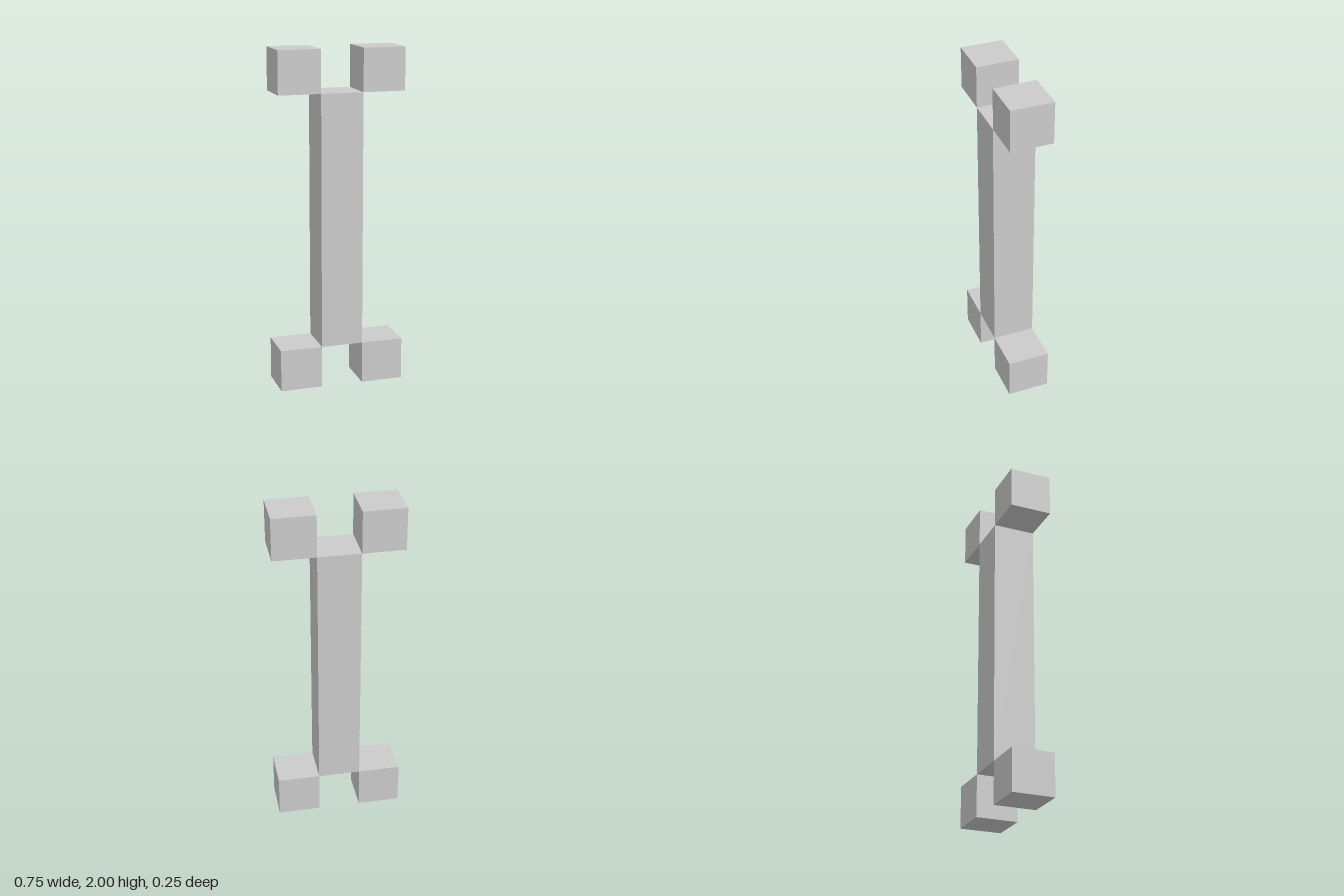
import * as THREE from 'three';

const UNIT = 0.25; // edge of one cube
const HEIGHT = 2;

export function createModel() {
  const model = new THREE.Group();
  model.name = 'bone';
  const material = new THREE.MeshStandardMaterial({ color: 0xcccccc, flatShading: true });

  const addBox = (name, height, x, y) => {
    const mesh = new THREE.Mesh(new THREE.BoxGeometry(UNIT, height, UNIT), material);
    mesh.name = name;
    mesh.position.set(x, y, 0);
    model.add(mesh);
  };

  // Long square shaft, ending one cube short of top and bottom
  addBox('shaft', HEIGHT - 2 * UNIT, 0, HEIGHT / 2);

  // Cube knobs touching the shaft's corner edges at both ends
  for (const [side, x] of [['Left', UNIT], ['Right', -UNIT]]) {
    addBox(`bottom${side}Knob`, UNIT, x, UNIT / 2);
    addBox(`top${side}Knob`, UNIT, x, HEIGHT - UNIT / 2);
  }

  return model;
}
